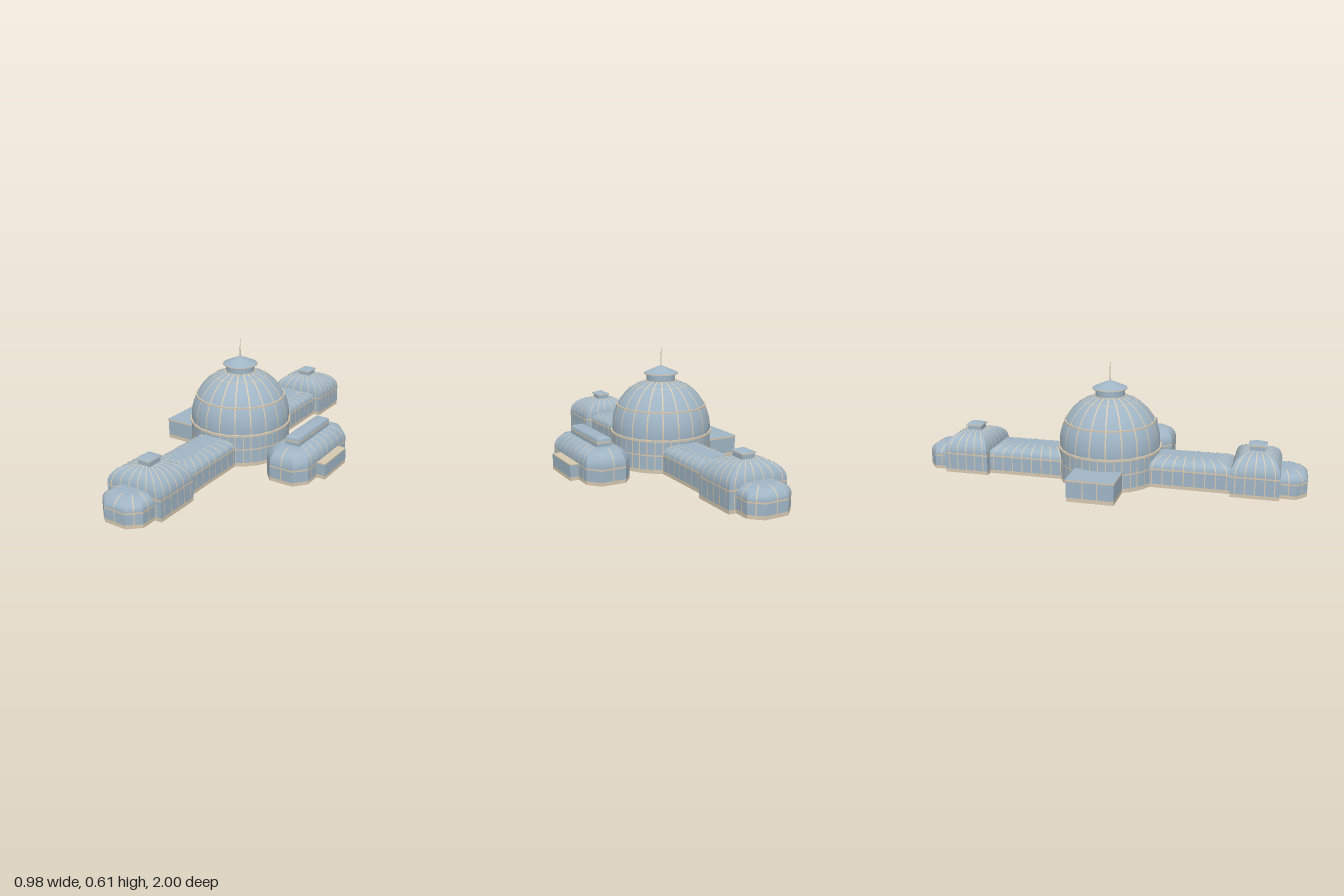
import * as THREE from 'three';
import { mergeGeometries, toCreasedNormals } from 'three/addons/utils/BufferGeometryUtils.js';

const glass = new THREE.MeshStandardMaterial({ color: 0xa0b5c5, side: THREE.DoubleSide });
glass.name = 'blue glass';
const frame = new THREE.MeshStandardMaterial({ color: 0xd6c8b0, side: THREE.DoubleSide });
frame.name = 'cream frame';

// Footprints: corner lists of [x, z], running from front to right to back to left
const rect = (hx, hz) => [[-hx, hz], [hx, hz], [hx, -hz], [-hx, -hz]];
const octagon = (hx, hz, cx, cz) => [
  [-hx, hz - cz], [cx - hx, hz], [hx - cx, hz], [hx, hz - cz],
  [hx, cz - hz], [hx - cx, -hz], [cx - hx, -hz], [-hx, cz - hz]];
const polygon = (r, n) => Array.from({ length: n }, (_, i) => {
  const a = (i / n) * Math.PI * 2;
  return [Math.sin(a) * r, Math.cos(a) * r];
});

function surface(positions) {
  const g = new THREE.BufferGeometry();
  g.setAttribute('position', new THREE.Float32BufferAttribute(positions, 3));
  return toCreasedNormals(g, 0.6);
}

const quad = (out, a, b, c, d) => out.push(...a, ...b, ...c, ...a, ...c, ...d);

// A shell through stacked levels {y, ring, mat}; mat colours the strip above.
// ribs = list of [edge indices, positions along the edge]
function shell(name, levels, { ribs = [], cap = glass, ribWidth = 0.003 } = {}) {
  const group = new THREE.Group();
  group.name = name;
  const faces = new Map([[glass, []], [frame, []]]);
  const n = levels[0].ring.length;
  const at = (l, i) => [l.ring[i % n][0], l.y, l.ring[i % n][1]];
  for (let k = 0; k < levels.length - 1; k++) {
    const lo = levels[k], hi = levels[k + 1];
    for (let i = 0; i < n; i++)
      quad(faces.get(lo.mat || glass), at(lo, i), at(lo, i + 1), at(hi, i + 1), at(hi, i));
  }
  // Flat top
  const top = levels[levels.length - 1];
  if (cap) for (let i = 0; i < n; i++)
    faces.get(cap).push(...at(top, i), ...at(top, i + 1), 0, top.y, 0);

  // Glazing bars on both sides of the glass
  const bars = [];
  for (const [edges, spots] of ribs) for (const e of edges) for (const u of spots) for (const s of [1, -1]) {
    const pair = levels.map((l) => {
      const a = l.ring[e % n], b = l.ring[(e + 1) % n];
      let tx = b[0] - a[0], tz = b[1] - a[1];
      const len = Math.hypot(tx, tz) || 1;
      const x = a[0] + tx * u, z = a[1] + tz * u, o = 0.0016 * s;
      tx /= len; tz /= len;
      const side = (w) => [x + tx * w - tz * o, l.y + (l.y > 0 ? o : 0), z + tz * w + tx * o];
      return [side(-ribWidth), side(ribWidth)];
    });
    for (let k = 0; k < pair.length - 1; k++)
      quad(bars, pair[k][0], pair[k][1], pair[k + 1][1], pair[k + 1][0]);
  }
  const add = (label, geo, mat) => {
    const m = new THREE.Mesh(geo, mat);
    m.name = label;
    group.add(m);
  };
  if (faces.get(glass).length) add(name + 'Glass', surface(faces.get(glass)), glass);
  const trim = [faces.get(frame), bars].filter((p) => p.length).map(surface);
  if (trim.length) add(name + 'Frame', mergeGeometries(trim), frame);
  return group;
}

// Walls with a plinth and an eaves band, then a curved roof drawn in by (ix, iz)
function vaulted(name, footprint, { base = 0, plinth = 0.018, band, spring, top, ix, iz }, options) {
  const wall = footprint(0, 0, 0);
  const levels = [];
  if (plinth) levels.push({ y: base, ring: wall, mat: frame });
  levels.push({ y: base + plinth, ring: wall });
  levels.push({ y: band, ring: wall, mat: frame }, { y: band + 0.008, ring: wall });
  for (let k = 0; k <= 8; k++) {
    const t = (k / 8) * Math.PI / 2, f = 1 - Math.cos(t);
    levels.push({ y: spring + (top - spring) * Math.sin(t), ring: footprint(ix * f, iz * f, f) });
  }
  return shell(name, levels, options);
}
const spread = (n) => Array.from({ length: n }, (_, i) => (i + 0.5) / n);

function cylinder(name, r0, r1, y0, y1, mat, sides = 40) {
  const m = new THREE.Mesh(new THREE.CylinderGeometry(r1, r0, y1 - y0, sides), mat);
  m.name = name;
  m.position.y = (y0 + y1) / 2;
  return m;
}

function createDome() {
  const g = new THREE.Group();
  g.name = 'centralDome';
  const N = 20, all = Array.from({ length: N }, (_, i) => i);
  const level = (y, r, mat) => ({ y, ring: polygon(r, N), mat });
  g.add(shell('drum', [level(0, 0.262, frame), level(0.02, 0.262), level(0.09, 0.262, frame),
    level(0.097, 0.262), level(0.168, 0.262)], { cap: null, ribs: [[all, [0.02, 0.5]]], ribWidth: 0.0025 }));
  const dome = [];
  for (let k = 0; k <= 12; k++) {
    const y = 0.172 + (0.238 * k) / 12;
    dome.push(level(y, Math.sqrt(0.262 ** 2 - (y - 0.19) ** 2)));
  }
  dome.push(level(0.435, 0.08));
  g.add(shell('dome', dome, { ribs: [[all, [0.5]]], ribWidth: 0.0035 }));
  g.add(cylinder('drumCornice', 0.268, 0.268, 0.165, 0.175, frame));
  g.add(cylinder('middleRing', 0.237, 0.237, 0.306, 0.313, frame));
  g.add(cylinder('upperRing', 0.141, 0.137, 0.406, 0.413, frame));
  g.add(cylinder('lanternBase', 0.081, 0.081, 0.43, 0.438, frame));
  g.add(cylinder('lantern', 0.075, 0.075, 0.435, 0.475, glass));
  g.add(cylinder('lanternEaves', 0.09, 0.09, 0.472, 0.477, frame));
  g.add(cylinder('lanternRoof', 0.09, 0.002, 0.477, 0.516, glass));
  g.add(cylinder('spire', 0.004, 0.001, 0.51, 0.608, frame, 8));
  g.position.set(-0.085, 0, -0.005);
  return g;
}

// Long wing, square pavilion and canted apse, built towards +z
function createArm(name) {
  const g = new THREE.Group();
  g.name = name;
  const wing = vaulted('wing', (dx, dz) => rect(0.117 - dx, 0.24 - dz),
    { band: 0.092, spring: 0.1, top: 0.149, ix: 0.08, iz: 0.07 },
    { ribs: [[[1, 3], spread(9)], [[0], spread(3)]], ribWidth: 0.0025 });
  wing.position.z = 0.4;

  const pavilion = vaulted('pavilion', (dx, dz) => rect(0.155 - dx, 0.119 - dz),
    { band: 0.1, spring: 0.115, top: 0.206, ix: 0.12, iz: 0.08 },
    { ribs: [[[0, 2], spread(6)], [[1, 3], spread(5)]], ribWidth: 0.0025 });
  pavilion.position.z = 0.752;

  const box = (y, s, mat) => ({ y, ring: rect(0.035 * s, 0.041 * s), mat });
  const lantern = shell('pavilionLantern', [box(0.2, 0.95), box(0.226, 0.95, frame),
    box(0.23, 0.95, frame), box(0.23, 1.1, frame), box(0.234, 1.1), box(0.252, 0.02)]);
  lantern.position.z = 0.752;

  const apse = vaulted('apse', (dx, dz, f) =>
    octagon(0.118 - dx, 0.125 - dz, 0.058 * (1 - 0.6 * f), 0.052 * (1 - 0.6 * f)),
  { band: 0.07, spring: 0.079, top: 0.13, ix: 0.065, iz: 0.065 },
  { ribs: [[[1], [0.5]], [[0, 2], [0.5]], [[3, 7], [0.25, 0.75]]], ribWidth: 0.0025 });
  apse.position.z = 0.875;
  g.add(wing, pavilion, lantern, apse);
  g.position.x = -0.085;
  return g;
}

function createSideHouse() {
  const g = new THREE.Group();
  g.name = 'sideHouse';
  g.add(vaulted('sideHall', (dx, dz, f) =>
    octagon(0.117 - dx, 0.269 - dz, 0.052 * (1 - 0.6 * f), 0.062 * (1 - 0.6 * f)),
  { band: 0.075, spring: 0.092, top: 0.165, ix: 0.075, iz: 0.075 },
  { ribs: [[[1, 5], [0.5]], [[3, 7], spread(7)]], ribWidth: 0.0025 }));
  g.add(vaulted('sideLantern', (dx, dz) => rect(0.039 - dx, 0.164 - dz),
    { base: 0.16, plinth: 0, band: 0.182, spring: 0.191, top: 0.214, ix: 0.026, iz: 0.026 }));
  // Low porches on both long sides
  for (const [name, x0, x1] of [['leftPorch', 0.117, 0.163], ['rightPorch', -0.141, -0.117]]) {
    const ring = rect((x1 - x0) / 2, 0.116);
    const porch = shell(name, [{ y: 0, ring, mat: frame }, { y: 0.018, ring },
      { y: 0.078, ring, mat: frame }, { y: 0.083, ring }], { cap: frame });
    porch.position.x = (x0 + x1) / 2;
    g.add(porch);
  }
  g.position.set(0.326, 0, -0.004);
  return g;
}

function createEntrance() {
  const wall = rect(0.104, 0.118), rim = rect(0.107, 0.121);
  const g = shell('entranceBlock', [{ y: 0, ring: wall, mat: frame }, { y: 0.02, ring: wall },
    { y: 0.103, ring: wall, mat: frame }, { y: 0.103, ring: rim, mat: frame }, { y: 0.112, ring: rim }],
  { ribs: [[[3], [0.35, 0.65]]] });
  g.position.set(-0.383, 0, -0.005);
  return g;
}

export function createModel() {
  const model = new THREE.Group();
  model.name = 'glasshouse';
  const back = new THREE.Group();
  back.name = 'backHalf';
  back.rotation.y = Math.PI;
  const backArm = createArm('backArm');
  backArm.position.x = 0.085;
  back.add(backArm);
  model.add(createDome(), createArm('frontArm'), back, createSideHouse(), createEntrance());
  return model;
}
